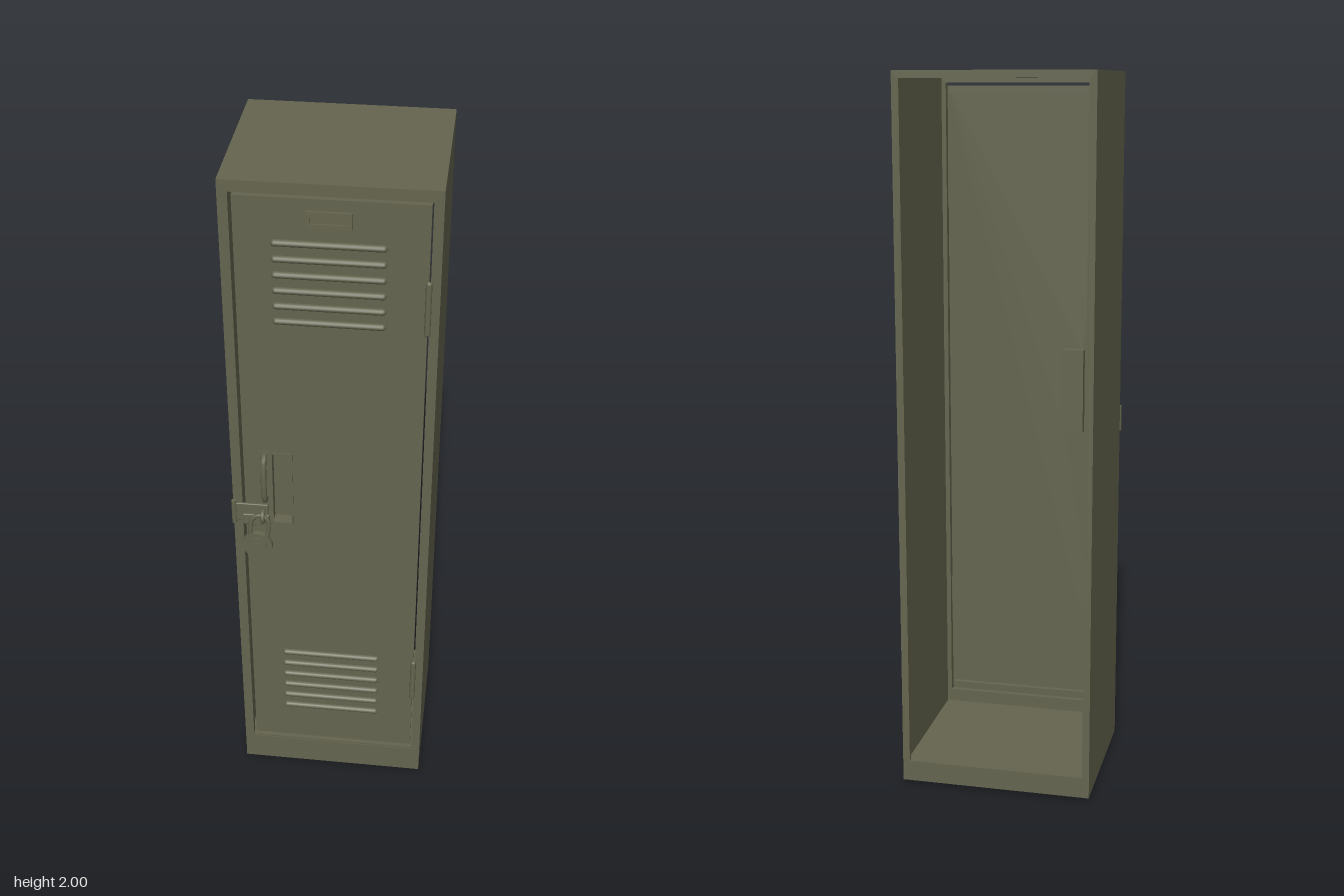
import * as THREE from 'three';
import { RoundedBoxGeometry } from 'three/addons/geometries/RoundedBoxGeometry.js';

export function createModel() {
  const locker = new THREE.Group();
  locker.name = 'locker';
  const paint = new THREE.MeshStandardMaterial({ color: 0x65654f });
  paint.name = 'olive paint';

  const add = (name, geometry, x = 0, y = 0, z = 0, parent = locker) => {
    const mesh = new THREE.Mesh(geometry, paint);
    mesh.name = name;
    mesh.position.set(x, y, z);
    parent.add(mesh);
    return mesh;
  };
  // box given by its limits on each axis
  const box = (name, x0, x1, y0, y1, z0, z1) =>
    add(name, new THREE.BoxGeometry(x1 - x0, y1 - y0, z1 - z0), (x0 + x1) / 2, (y0 + y1) / 2, (z0 + z1) / 2);
  const rect = (Type, x0, x1, y0, y1) => new Type([
    new THREE.Vector2(x0, y0), new THREE.Vector2(x1, y0),
    new THREE.Vector2(x1, y1), new THREE.Vector2(x0, y1)]);
  // flat plate with one rectangular opening
  const plate = (name, outer, hole, z0, z1) => {
    const shape = rect(THREE.Shape, ...outer);
    shape.holes.push(rect(THREE.Path, ...hole));
    return add(name, new THREE.ExtrudeGeometry(shape, { depth: z1 - z0, bevelEnabled: false }), 0, 0, z0);
  };
  const tube = (name, points, radius, parent) => add(name, new THREE.TubeGeometry(
    new THREE.CatmullRomCurve3(points.map(p => new THREE.Vector3(...p)), false, 'centripetal'), 32, radius, 10), 0, 0, 0, parent);

  // sheet-metal shell, open at the back
  box('leftWall', 0.26, 0.272, 0.01, 2, -0.25, 0.205);
  box('rightWall', -0.27, -0.258, 0.01, 2, -0.25, 0.205);
  box('roof', -0.259, 0.261, 1.985, 2, -0.25, 0.205);
  box('floor', -0.259, 0.261, 0.01, 0.07, -0.25, 0.205);
  plate('backLip', [-0.27, 0.272, 0.01, 2], [-0.25, 0.252, 0.07, 1.98], -0.25, -0.238);

  // front frame with kick plate
  plate('frontFrame', [-0.27, 0.272, 0.01, 2], [-0.244, 0.247, 0.108, 1.969], 0.195, 0.215);
  box('kickPlate', -0.24, 0.265, 0.012, 0.102, 0.212, 0.217);
  for (const x of [-0.24, 0.235]) for (const z of [0.16, -0.2])
    add('foot', new THREE.CylinderGeometry(0.014, 0.014, 0.012, 16), x, 0.006, z);

  // door with a recessed handle pocket
  plate('door', [-0.236, 0.243, 0.119, 1.961], [-0.16, -0.107, 0.968, 1.203], 0.2, 0.213);
  box('doorTopFold', -0.23, 0.237, 1.94, 1.961, 0.185, 0.2);
  box('doorBottomFold', -0.23, 0.237, 0.119, 0.14, 0.185, 0.2);
  plate('pocketWall', [-0.166, -0.101, 0.962, 1.209], [-0.16, -0.107, 0.968, 1.203], 0.18, 0.2);
  box('pocketBack', -0.166, -0.101, 0.962, 1.209, 0.174, 0.18);
  plate('pocketRim', [-0.164, -0.103, 0.964, 1.207], [-0.158, -0.109, 0.97, 1.201], 0.212, 0.216);

  // pressed louvres, two banks of six
  const slat = new THREE.CapsuleGeometry(0.009, 0.267, 6, 16);
  slat.rotateZ(Math.PI / 2);
  slat.scale(1, 1, 1.25);
  for (const base of [1.62, 0.255]) for (let i = 0; i < 6; i++)
    add('louvre', slat, -0.002, base + i * 0.044, 0.213);

  // label holder
  plate('labelHolder', [-0.056, 0.056, 1.886, 1.93], [-0.048, 0.048, 1.898, 1.923], 0.213, 0.22);
  box('labelPlate', -0.05, 0.05, 1.89, 1.925, 0.213, 0.216);

  // hinges on the left side of the door
  for (const y of [1.68, 0.4]) {
    add('hingeBarrel', new THREE.CylinderGeometry(0.008, 0.008, 0.14, 16), 0.243, y, 0.216);
    for (const s of [-1, 1]) add('hingeCap', new THREE.SphereGeometry(0.008, 12, 8), 0.243, y + s * 0.07, 0.216);
  }

  // pull handle beside the pocket
  tube('handle', [[-0.178, 1.055, 0.205], [-0.178, 1.057, 0.23], [-0.178, 1.075, 0.239],
    [-0.178, 1.175, 0.239], [-0.178, 1.195, 0.23], [-0.178, 1.198, 0.205]], 0.008);
  box('handlePlate', -0.194, -0.164, 1.04, 1.21, 0.211, 0.216);

  // hasp
  add('haspPlate', new RoundedBoxGeometry(0.1, 0.06, 0.008, 3, 0.003), -0.222, 1.003, 0.22);
  add('haspFlap', new RoundedBoxGeometry(0.075, 0.035, 0.008, 3, 0.003), -0.205, 0.985, 0.228);
  add('haspPin', new THREE.CylinderGeometry(0.007, 0.007, 0.075, 12), -0.267, 1.003, 0.222);
  const staple = add('haspStaple', new THREE.TorusGeometry(0.016, 0.006, 10, 24), -0.185, 1.0, 0.23);
  staple.rotation.y = Math.PI / 2;

  // round padlock hanging from the staple
  const lock = new THREE.Group();
  lock.name = 'padlock';
  lock.position.set(-0.203, 0.9, 0.234);
  lock.rotation.z = -0.12;
  locker.add(lock);
  const disc = (name, r, depth, z) => {
    add(name, new THREE.CylinderGeometry(r, r, depth, 32), 0, 0, z, lock).rotation.x = Math.PI / 2;
  };
  disc('lockBody', 0.042, 0.014, 0);
  disc('lockDial', 0.027, 0.004, 0.008);
  disc('lockKnob', 0.011, 0.006, 0.009);
  tube('shackle', [[-0.024, 0.025, 0], [-0.024, 0.08, 0], [-0.015, 0.098, 0], [0, 0.105, 0],
    [0.015, 0.098, 0], [0.024, 0.08, 0], [0.024, 0.025, 0]], 0.006, lock);

  return locker;
}
